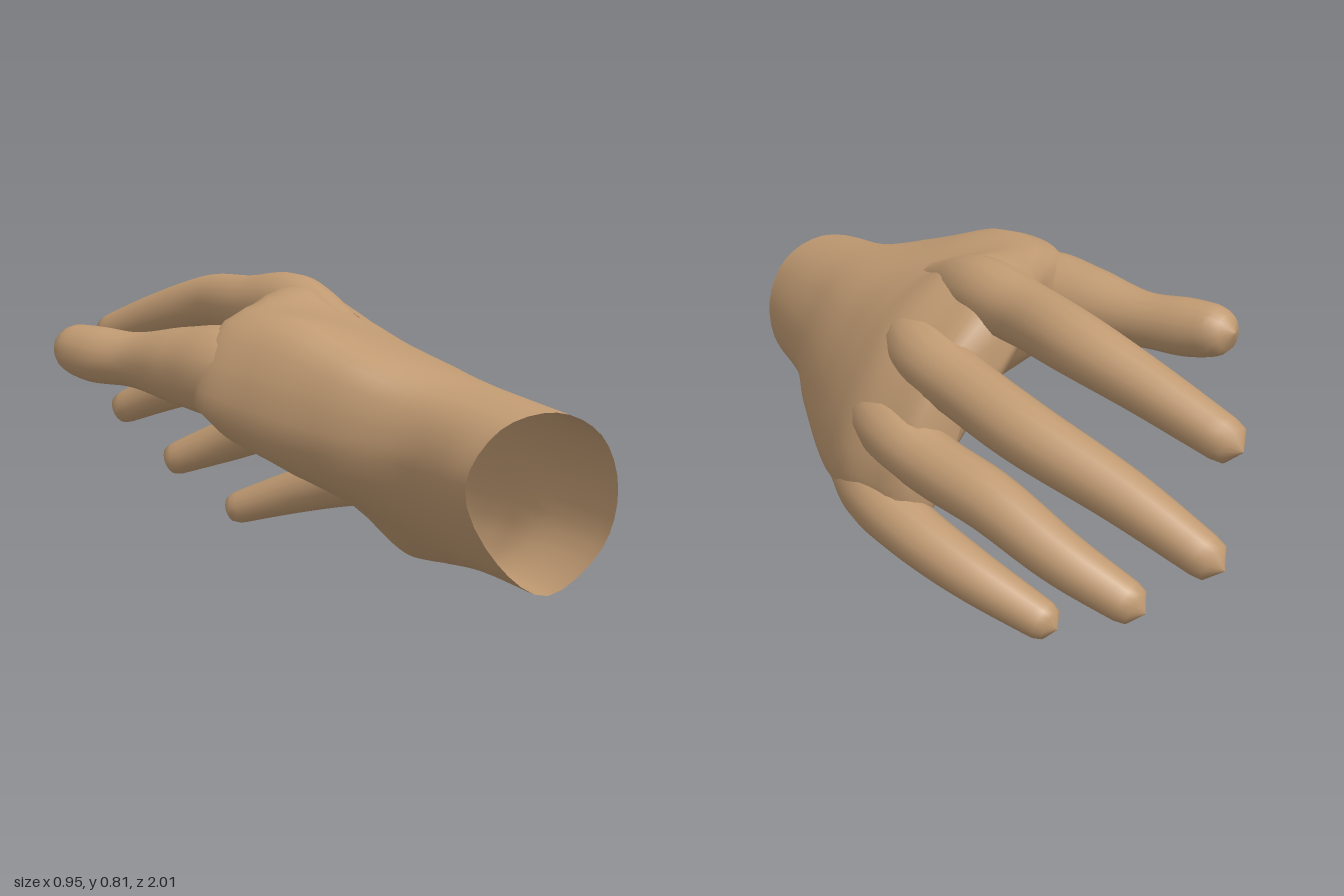
import * as THREE from 'three';

const skinMaterial = new THREE.MeshStandardMaterial({ color: 0xc09a72, side: THREE.DoubleSide });

// Smooth surface through closed rings of points
function skin(name, rings) {
  const n = rings[0].length, index = [];
  for (let i = 0; i < rings.length - 1; i++) {
    for (let j = 0; j < n; j++) {
      const k = (j + 1) % n;
      const a = i * n + j, b = i * n + k, c = a + n, d = b + n;
      index.push(a, b, c, b, d, c);
    }
  }
  const geometry = new THREE.BufferGeometry().setFromPoints(rings.flat());
  geometry.setIndex(index);
  geometry.computeVertexNormals();
  const mesh = new THREE.Mesh(geometry, skinMaterial);
  mesh.name = name;
  return mesh;
}

// Tapered digit along joints [x, y, z, radius], with a rounded tip
function digit(name, joints) {
  const curve = new THREE.CatmullRomCurve3(joints.map(([x, y, z]) => new THREE.Vector3(x, y, z)));
  const radii = new THREE.CatmullRomCurve3(joints.map((p, i) => new THREE.Vector3(p[3], i, 0)));
  const steps = 40, sides = 16, length = curve.getLength();
  const frames = curve.computeFrenetFrames(steps);
  const rings = [];
  for (let i = 0; i <= steps; i++) {
    const u = i / steps;
    let r = radii.getPoint(curve.getUtoTmapping(u)).x;
    const left = Math.min(1, (1 - u) * length / r);
    r *= Math.sqrt(Math.max(0, 1 - (1 - left) ** 2));
    const center = curve.getPointAt(u);
    rings.push(Array.from({ length: sides }, (_, j) => {
      const a = j / sides * Math.PI * 2;
      return center.clone()
        .addScaledVector(frames.normals[i], r * Math.cos(a))
        .addScaledVector(frames.binormals[i], r * Math.sin(a));
    }));
  }
  return skin(name, rings);
}

// Wrist and palm: outlines run thumb side, back of hand, little-finger side, palm
function palm() {
  const sections = [
    [0.955, [[-0.10, 0.57], [0.03, 0.60], [0.15, 0.54], [0.215, 0.41], [0.20, 0.27], [0.08, 0.168], [-0.06, 0.26], [-0.165, 0.45]]],
    [0.70, [[-0.11, 0.60], [0.03, 0.635], [0.17, 0.57], [0.26, 0.42], [0.25, 0.26], [0.12, 0.165], [-0.04, 0.255], [-0.155, 0.45]]],
    [0.50, [[-0.19, 0.67], [0.02, 0.67], [0.20, 0.60], [0.31, 0.43], [0.325, 0.23], [0.19, 0.125], [-0.04, 0.26], [-0.24, 0.45]]],
    [0.30, [[-0.24, 0.735], [0.02, 0.71], [0.22, 0.63], [0.36, 0.44], [0.385, 0.20], [0.24, 0.085], [-0.02, 0.28], [-0.325, 0.48]]],
    [0.12, [[-0.26, 0.73], [0.04, 0.745], [0.25, 0.66], [0.395, 0.46], [0.435, 0.21], [0.28, 0.095], [0.06, 0.32], [-0.355, 0.53]]],
    [-0.03, [[-0.125, 0.715], [0.08, 0.785], [0.28, 0.67], [0.415, 0.46], [0.46, 0.24], [0.33, 0.115], [0.15, 0.35], [-0.11, 0.585]]],
    [-0.18, [[0.01, 0.70], [0.10, 0.765], [0.275, 0.63], [0.39, 0.44], [0.425, 0.24], [0.36, 0.145], [0.25, 0.36], [0.05, 0.61]]],
  ];
  const around = 32, along = 40;
  const outlines = sections.map(([z, pts], s) => {
    const loop = new THREE.CatmullRomCurve3(pts.map(([x, y]) => new THREE.Vector3(x, y, z)), true);
    const ring = Array.from({ length: around }, (_, j) => loop.getPoint(j / around));
    // slanted cut at the wrist
    if (s === 0) ring.forEach((p) => { p.z += 0.28 * ((p.x - 0.03) * 0.8 + (p.y - 0.4) * 0.6); });
    return ring;
  });
  const lines = Array.from({ length: around }, (_, j) => new THREE.CatmullRomCurve3(outlines.map((ring) => ring[j])));
  const rings = [];
  for (let i = 0; i <= along; i++) rings.push(lines.map((line) => line.getPoint(i / along)));
  // rounded end between the finger roots
  const end = rings[along];
  const center = end.reduce((sum, p) => sum.add(p), new THREE.Vector3()).divideScalar(around);
  for (const [scale, depth] of [[0.93, 0.03], [0.8, 0.055], [0.5, 0.07], [0, 0.075]]) {
    rings.push(end.map((p) => {
      const q = p.clone().sub(center).multiplyScalar(scale).add(center);
      q.z -= depth;
      return q;
    }));
  }
  return skin('wristAndPalm', rings);
}

export function createModel() {
  const hand = new THREE.Group();
  hand.name = 'hand';
  hand.add(palm());
  // each digit starts inside the palm and rises gently, so that its root blends in
  const digits = {
    thumb: [[-0.17, 0.60, 0.32, 0.06], [-0.24, 0.60, 0.14, 0.115], [-0.285, 0.60, -0.03, 0.102], [-0.333, 0.60, -0.20, 0.074], [-0.387, 0.605, -0.33, 0.076], [-0.428, 0.62, -0.46, 0.06]],
    indexFinger: [[0.085, 0.675, 0.14, 0.06], [0.105, 0.722, -0.11, 0.089], [0.088, 0.71, -0.30, 0.083], [0.09, 0.70, -0.52, 0.078], [0.04, 0.65, -0.72, 0.066], [-0.043, 0.563, -0.965, 0.05]],
    middleFinger: [[0.20, 0.595, 0.14, 0.06], [0.262, 0.58, -0.09, 0.088], [0.25, 0.545, -0.28, 0.081], [0.217, 0.50, -0.50, 0.078], [0.118, 0.415, -0.76, 0.066], [0.02, 0.31, -1.0, 0.048]],
    ringFinger: [[0.32, 0.415, 0.14, 0.06], [0.357, 0.40, -0.09, 0.087], [0.335, 0.36, -0.26, 0.08], [0.287, 0.325, -0.46, 0.075], [0.217, 0.245, -0.66, 0.065], [0.112, 0.158, -0.845, 0.048]],
    littleFinger: [[0.365, 0.215, 0.14, 0.06], [0.391, 0.215, -0.06, 0.085], [0.383, 0.185, -0.21, 0.076], [0.32, 0.125, -0.40, 0.066], [0.20, 0.035, -0.62, 0.046]],
  };
  for (const [name, joints] of Object.entries(digits)) hand.add(digit(name, joints));
  return hand;
}
